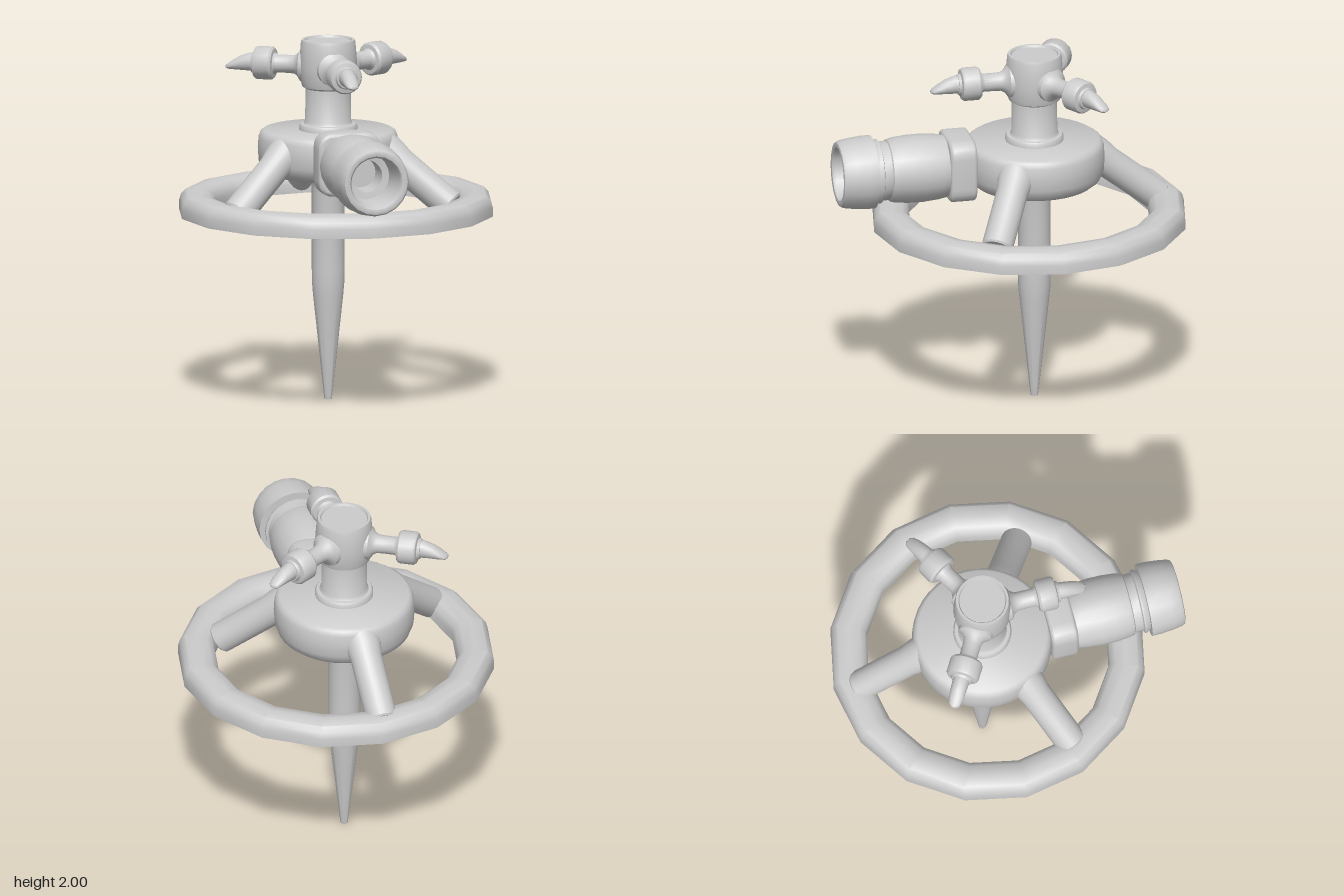
import * as THREE from 'three';
import { toCreasedNormals } from 'three/addons/utils/BufferGeometryUtils.js';

const material = new THREE.MeshStandardMaterial({ color: 0xcccccc });

// Revolved solid; profile is [radius, height] pairs running up the outside
function lathe(profile, segments = 32, crease = 0.65) {
  const points = profile.map(([r, y]) => new THREE.Vector2(r, y));
  return toCreasedNormals(new THREE.LatheGeometry(points, segments), crease);
}

function add(parent, name, geometry) {
  const mesh = new THREE.Mesh(geometry, material);
  mesh.name = name;
  parent.add(mesh);
  return mesh;
}

// Curved outlet: a round bar along +z, flat below and sloping down on top
function nozzleGeometry() {
  const stations = [ // z, bottom, top, half width
    [0.40, -0.050, 0.055, 0.048], [0.45, -0.048, 0.052, 0.046],
    [0.50, -0.046, 0.034, 0.043], [0.54, -0.044, 0.010, 0.039],
    [0.57, -0.042, -0.012, 0.030], [0.583, -0.036, -0.022, 0.015],
  ];
  const geometry = new THREE.CylinderGeometry(1, 1, 1, 16, stations.length - 1);
  geometry.rotateX(Math.PI / 2);
  const p = geometry.attributes.position;
  for (let i = 0; i < p.count; i++) {
    const k = Math.round((p.getZ(i) + 0.5) * (stations.length - 1));
    const [z, low, high, half] = stations[k];
    p.setXYZ(i, p.getX(i) * half, (low + high) / 2 + p.getY(i) * (high - low) / 2, z);
  }
  return toCreasedNormals(geometry, 0.9);
}

// Square coupling nut with rounded corners and bevelled faces
function nutGeometry(half, depth, corner, bevel) {
  const h = half - bevel, c = h - corner, s = new THREE.Shape();
  s.moveTo(-c, -h);
  s.lineTo(c, -h).quadraticCurveTo(h, -h, h, -c);
  s.lineTo(h, c).quadraticCurveTo(h, h, c, h);
  s.lineTo(-c, h).quadraticCurveTo(-h, h, -h, c);
  s.lineTo(-h, -c).quadraticCurveTo(-h, -h, -c, -h);
  const geometry = new THREE.ExtrudeGeometry(s, {
    depth: depth - 2 * bevel, bevelSize: bevel, bevelThickness: bevel, bevelSegments: 3, curveSegments: 5,
  });
  geometry.translate(0, 0, bevel);
  return toCreasedNormals(geometry, 0.6);
}

export function createModel() {
  const model = new THREE.Group();
  model.name = 'sprinkler';

  // Base ring: flat underneath, rounded on top
  add(model, 'baseRing', lathe([
    [0.67, 1.04], [0.87, 1.04], [0.87, 1.09], [0.86, 1.125], [0.835, 1.152], [0.77, 1.165],
    [0.71, 1.152], [0.68, 1.125], [0.67, 1.09], [0.67, 1.04],
  ], 16)).position.z = -0.10;

  // Everything else shares one vertical axis
  const body = new THREE.Group();
  body.name = 'body';
  body.position.set(-0.035, 0, -0.138);
  model.add(body);

  add(body, 'groundSpike', lathe([
    [0, 0], [0.02, 0], [0.024, 0.03], [0.083, 0.58], [0.089, 0.65], [0.09, 0.72],
    [0.09, 1.18], [0.097, 1.22], [0.115, 1.245], [0.125, 1.26],
  ]));
  add(body, 'hub', lathe([
    [0, 1.25], [0.30, 1.25], [0.335, 1.26], [0.365, 1.285], [0.382, 1.33], [0.387, 1.40],
    [0.382, 1.46], [0.372, 1.488], [0.355, 1.5], [0, 1.5],
  ], 40));
  add(body, 'column', lathe([
    [0.16, 1.49], [0.16, 1.52], [0.152, 1.532], [0.135, 1.535], [0.126, 1.55], [0.125, 1.75],
  ]));
  add(body, 'head', lathe([
    [0, 1.73], [0.125, 1.73], [0.142, 1.74], [0.149, 1.765], [0.16, 1.85], [0.155, 1.92],
    [0.15, 1.985], [0.145, 2], [0.132, 2], [0.126, 1.988], [0, 1.988],
  ], 32));

  // Three sloping spokes from hub to ring
  const start = new THREE.Vector3(0, 1.41, 0.31), end = new THREE.Vector3(0, 1.105, 0.70);
  const run = end.clone().sub(start), length = run.length();
  const spokeGeometry = lathe([
    [0, 0], [0.1, 0], [0.098, 0.06], [0.087, 0.13], [0.086, length - 0.01], [0.078, length], [0, length],
  ], 24);
  spokeGeometry.applyQuaternion(
    new THREE.Quaternion().setFromUnitVectors(new THREE.Vector3(0, 1, 0), run.normalize()));
  spokeGeometry.translate(start.x, start.y, start.z);
  for (const angle of [Math.PI / 3, Math.PI, -Math.PI / 3]) {
    add(body, 'spoke', spokeGeometry).rotation.y = angle;
  }

  // Three spray arms, each with a collar and a curved nozzle
  const armGeometry = lathe([
    [0.1, 0.10], [0.092, 0.15], [0.065, 0.168], [0.052, 0.19], [0.05, 0.22], [0.05, 0.29], [0.06, 0.305],
    [0.082, 0.308], [0.092, 0.32], [0.092, 0.40], [0.084, 0.413], [0.062, 0.418], [0.056, 0.432], [0, 0.435],
  ], 20).rotateX(Math.PI / 2);
  const outlet = nozzleGeometry();
  for (const angle of [0, 2 * Math.PI / 3, -2 * Math.PI / 3]) {
    const arm = new THREE.Group();
    arm.name = 'sprayArm';
    arm.position.y = 1.852;
    arm.rotation.y = angle;
    add(arm, 'armAndCollar', armGeometry);
    add(arm, 'nozzle', outlet);
    body.add(arm);
  }

  // Hose connector pointing forward, with a hollow end
  const connector = new THREE.Group();
  connector.name = 'hoseConnector';
  connector.position.set(-0.035, 1.383, 0);
  model.add(connector);
  add(connector, 'couplingNut', nutGeometry(0.175, 0.15, 0.07, 0.02)).position.z = 0.217;
  add(connector, 'connectorNeck', new THREE.CylinderGeometry(0.115, 0.115, 0.3, 24)
    .rotateX(Math.PI / 2)).position.z = 0.2;
  add(connector, 'connectorBody', lathe([
    [0, 0.355], [0.155, 0.355], [0.172, 0.368], [0.18, 0.41], [0.188, 0.50], [0.187, 0.58], [0.18, 0.655],
    [0.172, 0.685], [0.163, 0.69], [0.163, 0.735], [0.178, 0.74], [0.178, 0.752], [0.165, 0.775],
    [0.203, 0.775], [0.202, 0.83], [0.195, 0.90], [0.187, 0.95], [0.178, 0.966], [0.165, 0.97],
    [0.148, 0.966], [0.138, 0.95], [0.128, 0.74], [0.09, 0.735], [0.085, 0.60], [0, 0.60],
  ], 20).rotateX(Math.PI / 2));

  return model;
}
